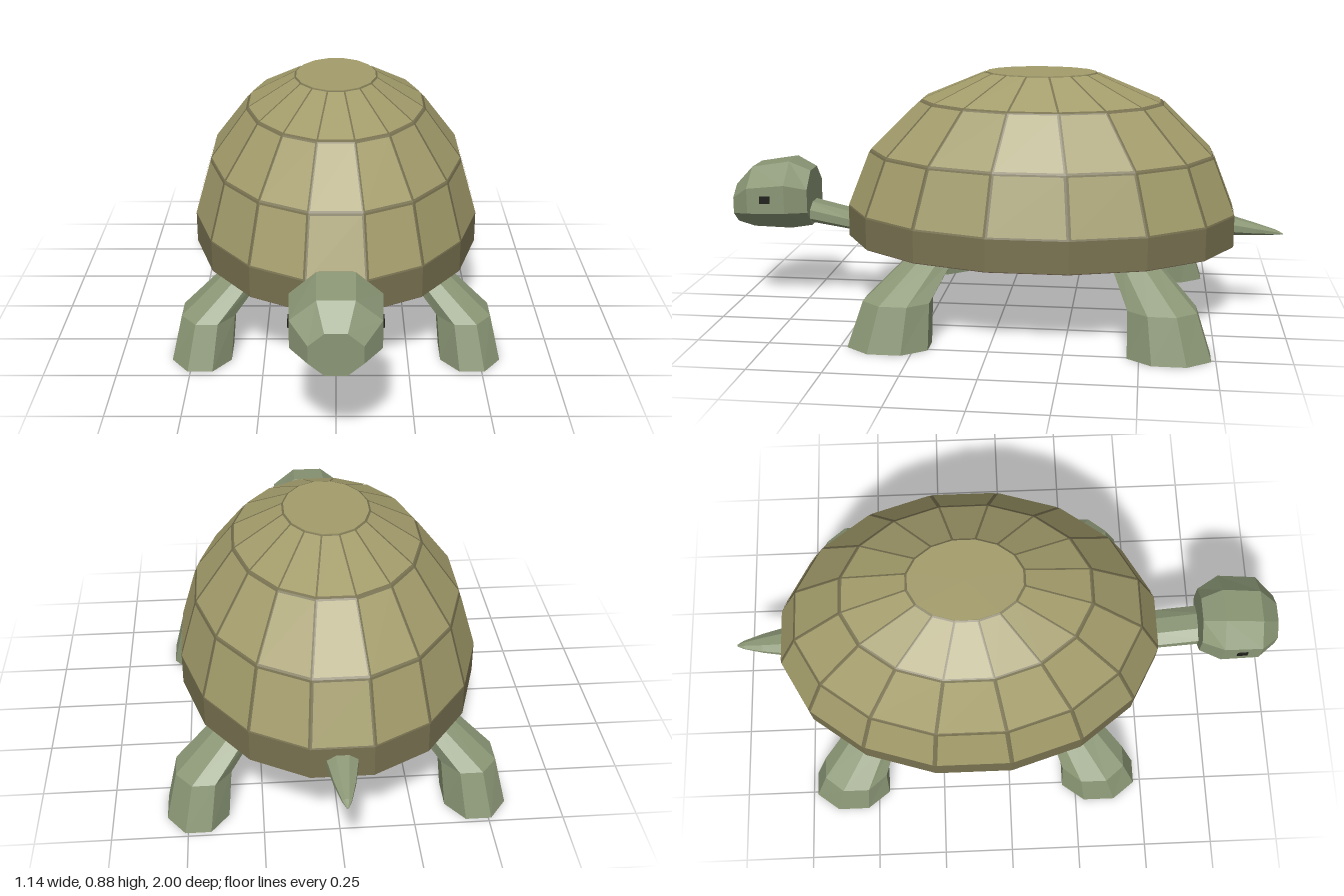
import * as THREE from 'three';

const mat = (color) => new THREE.MeshStandardMaterial({ color, flatShading: true });
const MID = -0.13; // z of the shell's centre

// Point j of an n-sided ring [x, y, z, halfU, halfV]; upright rings span x/y, level rings span x/z
function ringPoint([x, y, z, hu, hv], j, n, level) {
  const a = ((j + 0.5) / n) * Math.PI * 2, k = 1 / Math.cos(Math.PI / n);
  const u = hu * k * Math.cos(a), v = hv * k * Math.sin(a);
  return level ? new THREE.Vector3(x + u, y, z - v) : new THREE.Vector3(x + u, y + v, z);
}

function fromTriangles(points) {
  const g = new THREE.BufferGeometry().setFromPoints(points);
  g.computeVertexNormals();
  return g;
}

// Skin through rings, with both ends closed
function loft(rings, n, level) {
  const pts = [], last = rings.length - 1;
  const p = (i, j) => ringPoint(rings[i], j, n, level);
  const centre = (i) => new THREE.Vector3(...rings[i].slice(0, 3));
  for (let j = 0; j < n; j++) {
    for (let i = 0; i < last; i++) {
      pts.push(p(i, j), p(i, j + 1), p(i + 1, j + 1), p(i, j), p(i + 1, j + 1), p(i + 1, j));
    }
    pts.push(centre(0), p(0, j + 1), p(0, j), centre(last), p(last, j), p(last, j + 1));
  }
  return fromTriangles(pts);
}

// Slightly raised plates, each shrunk towards its centre to leave seams
function scuteGeometry(rings, n) {
  const pts = [];
  for (let i = 0; i < rings.length - 1; i++) {
    for (let j = 0; j < n; j++) {
      const q = [[i, j], [i, j + 1], [i + 1, j + 1], [i + 1, j]]
        .map(([r, s]) => ringPoint(rings[r], s, n, true));
      const c = q.reduce((sum, v) => sum.add(v), new THREE.Vector3()).divideScalar(4);
      const normal = q[1].clone().sub(q[0]).cross(q[3].clone().sub(q[0])).normalize();
      q.forEach((v) => v.lerp(c, 0.06).addScaledVector(normal, 0.003));
      pts.push(q[0], q[1], q[2], q[0], q[2], q[3]);
    }
  }
  return fromTriangles(pts);
}

export function createModel() {
  const model = new THREE.Group();
  model.name = 'turtle';
  const skin = mat(0x8a9675), plate = mat(0xa39c6b), seam = mat(0x787150);
  const belly = mat(0x5a4a3c), dark = mat(0x1c1c18);
  const add = (name, geometry, material, parent = model) => {
    const mesh = new THREE.Mesh(geometry, material);
    mesh.name = name;
    parent.add(mesh);
    return mesh;
  };

  // Shell: oval rings given by height and scale
  const shell = new THREE.Group();
  shell.name = 'shell';
  model.add(shell);
  const oval = (y, s) => [0, y, MID, 0.51 * s, 0.69 * s];
  const dome = [oval(0.39, 1), oval(0.595, 0.883), oval(0.775, 0.62), oval(0.875, 0.28)];
  add('shellBody', loft([oval(0.28, 1), ...dome], 16, true), seam, shell);
  add('scutes', scuteGeometry(dome, 16), plate, shell);
  add('crownScute', loft([oval(0.872, 0.28), oval(0.878, 0.28)], 16, true), plate, shell);
  add('bellyPlate', loft([oval(0.277, 0.995), oval(0.285, 0.995)], 16, true), belly, shell);

  // Head, neck and eyes
  const head = new THREE.Group();
  head.name = 'head';
  model.add(head);
  add('skull', loft([
    [0, 0.402, 0.715, 0.105, 0.103],
    [0, 0.415, 0.79, 0.145, 0.125],
    [0, 0.405, 0.93, 0.14, 0.112],
    [0, 0.375, 1.0, 0.083, 0.07],
  ], 8), skin, head);
  add('neck', loft([
    [0, 0.318, 0.48, 0.07, 0.035],
    [0, 0.315, 0.56, 0.07, 0.033],
    [0, 0.35, 0.74, 0.07, 0.04],
  ], 8), skin, head);
  for (const side of [-1, 1]) {
    add(side > 0 ? 'leftEye' : 'rightEye', new THREE.BoxGeometry(0.012, 0.027, 0.038), dark, head)
      .position.set(side * 0.14, 0.412, 0.862);
  }

  // Legs, mirrored across both axes of the shell
  for (const sx of [-1, 1]) {
    for (const sz of [-1, 1]) {
      const ring = (x, y, z, hx, hz) => [sx * x, y, MID + sz * (z - MID), hx, hz];
      add((sz > 0 ? 'front' : 'back') + (sx > 0 ? 'Left' : 'Right') + 'Leg', loft([
        ring(0.467, 0, 0.338, 0.103, 0.137),
        ring(0.443, 0.155, 0.312, 0.092, 0.113),
        ring(0.305, 0.28, 0.212, 0.07, 0.078),
        ring(0.23, 0.35, 0.158, 0.058, 0.06),
      ], 8, true), skin);
    }
  }

  // Tail, drawn out to a point
  add('tail', loft([
    [0, 0.306, -1.0, 0.003, 0.002],
    [0, 0.312, -0.975, 0.015, 0.008],
    [0, 0.322, -0.9, 0.035, 0.02],
    [0, 0.333, -0.82, 0.05, 0.031],
    [0, 0.34, -0.75, 0.055, 0.035],
  ], 8), skin);

  return model;
}
